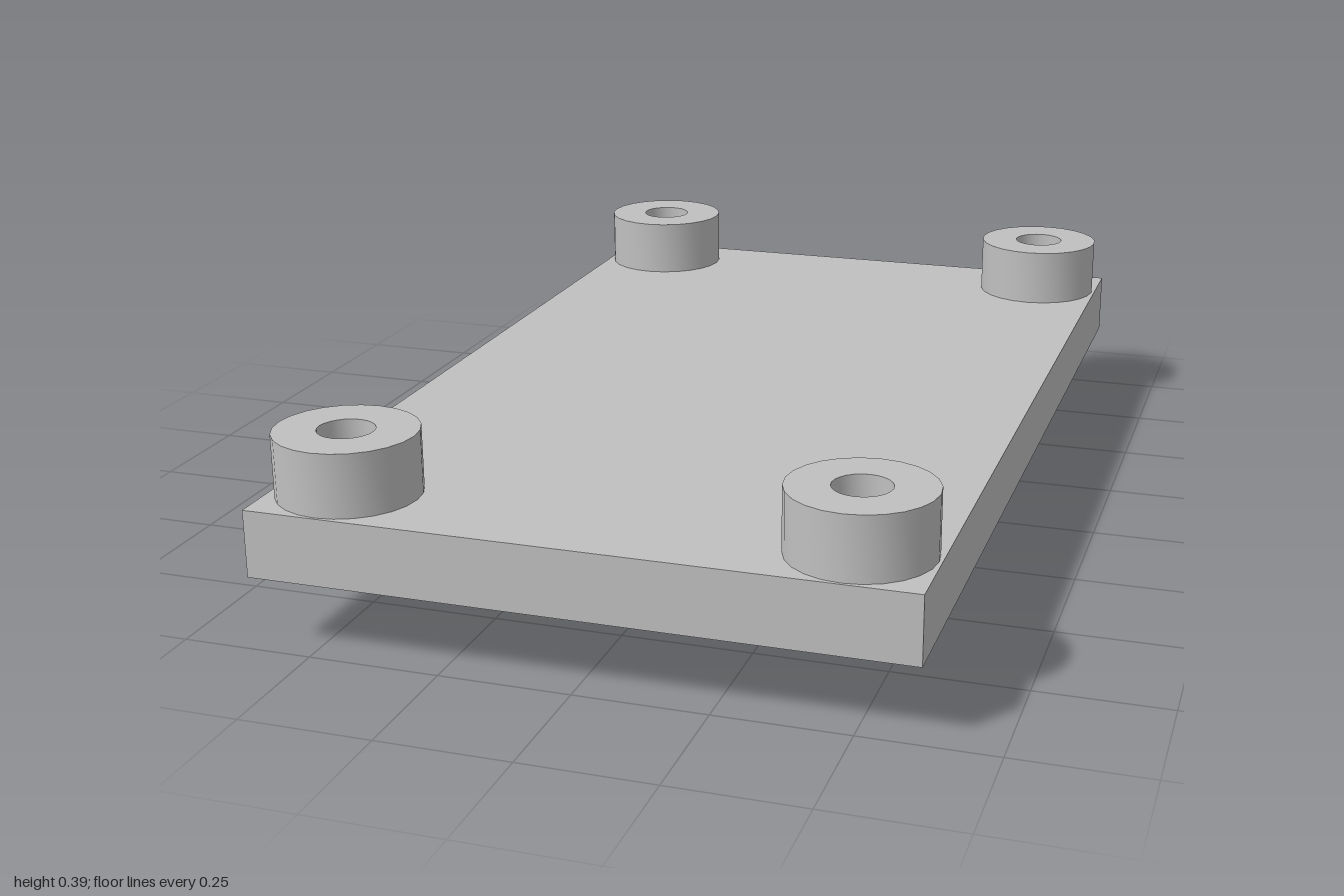
import * as THREE from 'three';
import { toCreasedNormals } from 'three/addons/utils/BufferGeometryUtils.js';

const SEGMENTS = 12;

function rectangle(halfX, halfZ, Type = THREE.Shape) {
  return new Type([
    new THREE.Vector2(-halfX, -halfZ), new THREE.Vector2(halfX, -halfZ),
    new THREE.Vector2(halfX, halfZ), new THREE.Vector2(-halfX, halfZ),
  ]);
}

function circle(x, z, r, Type = THREE.Shape) {
  const c = new Type();
  c.absarc(x, z, r, 0, Math.PI * 2, false);
  return c;
}

// Extrudes a plan outline upwards from y0 to y1
function slab(shape, y0, y1) {
  const g = new THREE.ExtrudeGeometry(shape, {
    depth: y1 - y0, bevelEnabled: false, curveSegments: SEGMENTS,
  });
  g.rotateX(-Math.PI / 2);
  g.translate(0, y0, 0);
  return toCreasedNormals(g, 0.7);
}

export function createModel() {
  const model = new THREE.Group();
  const grey = new THREE.MeshStandardMaterial({ color: 0xc0c0c0 });
  grey.name = 'grey plastic';

  function add(name, geometry, x = 0, z = 0) {
    const mesh = new THREE.Mesh(geometry, grey);
    mesh.name = name;
    mesh.position.set(x, 0, z);
    model.add(mesh);
  }

  const corners = [[1, 1], [1, -1], [-1, 1], [-1, -1]];
  const bossX = 0.473, bossZ = 0.862, holeR = 0.053;

  // Base plate with four through holes
  const plate = rectangle(0.612, 1);
  for (const [sx, sz] of corners) {
    plate.holes.push(circle(sx * bossX, sz * bossZ, holeR, THREE.Path));
  }
  add('plate', slab(plate, 0.14, 0.268));

  // Hollow corner bosses on top
  const boss = circle(0, 0, 0.133);
  boss.holes.push(circle(0, 0, holeR, THREE.Path));
  const bossGeometry = slab(boss, 0.268, 0.388);

  // Tubes inside the socket below
  const tube = circle(0, 0, 0.137);
  tube.holes.push(circle(0, 0, 0.1, THREE.Path));
  const tubeGeometry = slab(tube, 0, 0.14);

  for (const [sx, sz] of corners) {
    add('cornerBoss', bossGeometry, sx * bossX, sz * bossZ);
    add('socketTube', tubeGeometry, sx * 0.178, sz * 0.178);
  }

  // Square socket wall under the plate
  const wall = rectangle(0.51, 0.51);
  wall.holes.push(rectangle(0.45, 0.45, THREE.Path));
  add('socketWall', slab(wall, 0, 0.14));

  // Slim grip ribs on the inner front and back walls
  const ribGeometry = slab(rectangle(0.012, 0.01), 0.005, 0.14);
  for (const sz of [-1, 1]) {
    for (const x of [-0.356, 0, 0.356]) add('gripRib', ribGeometry, x, sz * 0.445);
  }

  return model;
}
